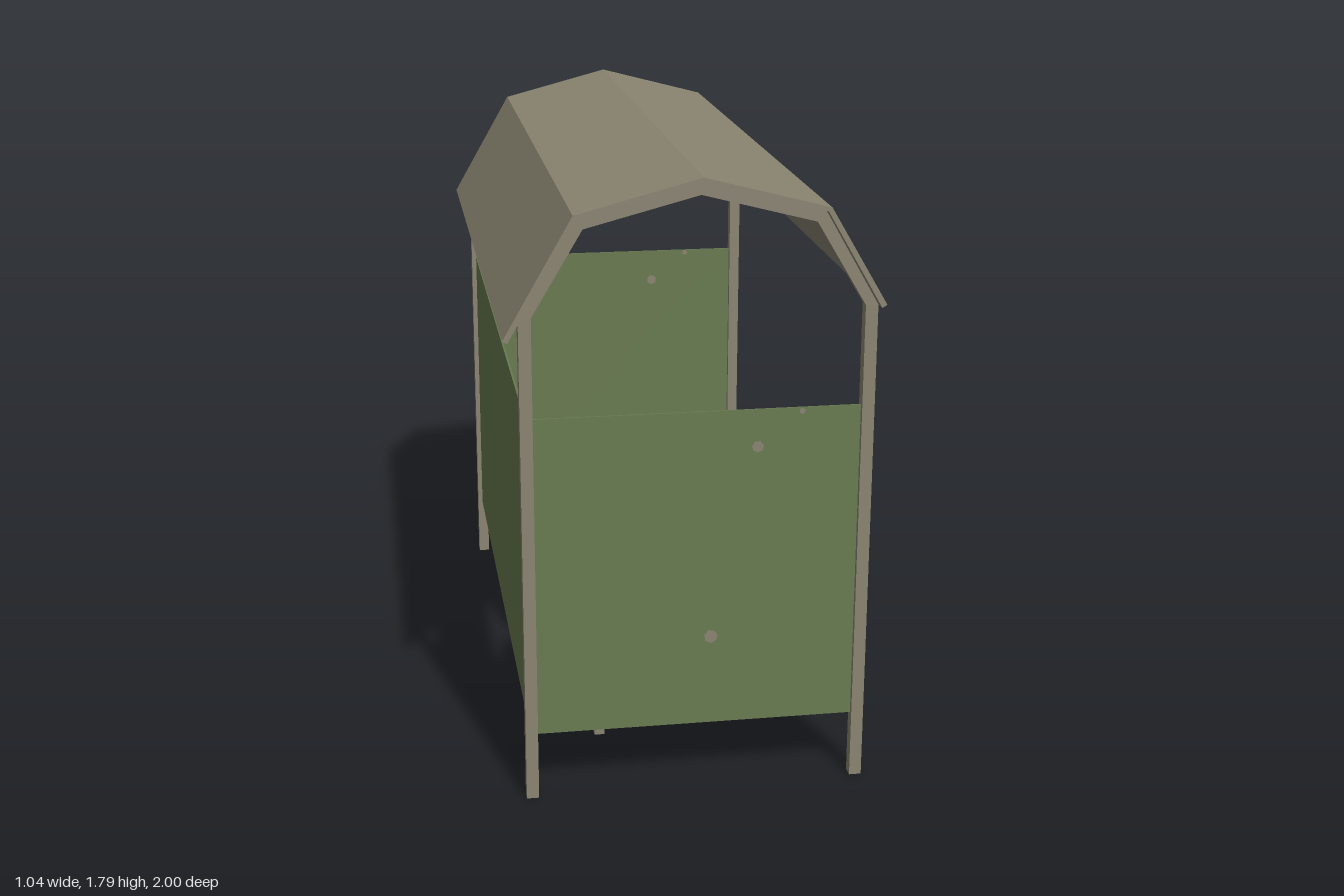
import * as THREE from 'three';

const metal = new THREE.MeshStandardMaterial({ color: 0x8a8471 });
metal.name = 'weathered metal';
const green = new THREE.MeshStandardMaterial({ color: 0x687a50 });
green.name = 'green paint';
const blue = new THREE.MeshStandardMaterial({ color: 0x58638a });
blue.name = 'blue plastic';

const MID = 0.015; // centre line of the frame in x

function add(parent, name, geometry, material, x = 0, y = 0, z = 0) {
  const mesh = new THREE.Mesh(geometry, material);
  mesh.name = name;
  mesh.position.set(x, y, z);
  parent.add(mesh);
  return mesh;
}

// Extrude an x,y outline along z, centred on z = 0
function prism(points, depth) {
  const shape = new THREE.Shape(points.map(([x, y]) => new THREE.Vector2(x, y)));
  return new THREE.ExtrudeGeometry(shape, { depth, bevelEnabled: false }).translate(0, 0, -depth / 2);
}

// Bent seat shell: four rows from the top of the back to the front lip,
// four columns across, closed with an offset lower layer
function seatGeometry() {
  const rows = [ // x and y in the middle, then at the sides
    [-0.345, 0.59, -0.325, 0.565],
    [-0.32, 0.368, -0.30, 0.383],
    [-0.09, 0.352, -0.10, 0.364],
    [-0.02, 0.348, -0.065, 0.36],
  ];
  const columns = [-0.142, -0.05, 0.05, 0.142];
  const n = columns.length;
  const layer = n * rows.length;
  const positions = [];
  for (const [dx, dy] of [[0, 0], [-0.01, -0.014]]) {
    rows.forEach(([mx, my, sx, sy], i) => columns.forEach((z, j) => {
      const side = j === 0 || j === n - 1;
      positions.push((side ? sx : mx) + dx, (side ? sy : my) + (i ? dy : 0), z);
    }));
  }
  const index = [];
  for (let i = 0; i < rows.length - 1; i++) {
    for (let j = 0; j < n - 1; j++) {
      const a = i * n + j, b = a + 1, c = a + n, d = c + 1;
      index.push(a, b, c, b, d, c);
      index.push(a + layer, c + layer, b + layer, b + layer, c + layer, d + layer);
    }
  }
  // Rim joining the two layers
  const rim = [];
  for (let j = 0; j < n; j++) rim.push(j);
  for (let i = 1; i < rows.length; i++) rim.push(i * n + n - 1);
  for (let j = n - 2; j >= 0; j--) rim.push((rows.length - 1) * n + j);
  for (let i = rows.length - 2; i > 0; i--) rim.push(i * n);
  rim.forEach((p, k) => {
    const q = rim[(k + 1) % rim.length];
    index.push(q, p, p + layer, q, p + layer, q + layer);
  });
  const geometry = new THREE.BufferGeometry();
  geometry.setAttribute('position', new THREE.Float32BufferAttribute(positions, 3));
  geometry.setIndex(index);
  const flat = geometry.toNonIndexed();
  flat.computeVertexNormals();
  return flat;
}

export function createModel() {
  const group = new THREE.Group();
  group.name = 'shelter';

  // Roof: a thin folded sheet with a longer overhang at the back
  add(group, 'roof', prism([
    [-0.52, 1.37], [-0.33, 1.70], [MID, 1.79], [0.36, 1.70], [0.52, 1.428],
    [0.506, 1.42], [0.35, 1.69], [MID, 1.775], [-0.32, 1.69], [-0.507, 1.362],
  ], 2), metal);

  // End frames: two posts and a folded arch, with a spotted panel between the posts
  const frame = prism([
    [-0.475, 0], [-0.475, 1.42], [-0.32, 1.69], [MID, 1.775], [0.35, 1.69], [0.505, 1.42], [0.505, 0],
    [0.47, 0], [0.47, 1.42], [0.33, 1.655], [MID, 1.737], [-0.30, 1.655], [-0.44, 1.42], [-0.44, 0],
  ], 0.035);
  const endSpots = [[0.182, 1.025, 0.017], [0.056, 0.463, 0.02], [0.305, 1.123, 0.009]];
  for (const side of [1, -1]) {
    const z = side * 0.947;
    add(group, 'endFrame', frame, metal, 0, 0, z);
    add(group, 'endPanel', new THREE.BoxGeometry(0.91, 0.938, 0.006), green, MID, 0.664, z);
    for (const [x, y, r] of endSpots) {
      const spot = new THREE.CylinderGeometry(r, r, 0.0085, 7).rotateX(Math.PI / 2);
      add(group, 'panelSpot', spot, metal, x, y, z);
    }
  }

  // Back panel with worn spots on its inner face
  add(group, 'backPanel', new THREE.BoxGeometry(0.006, 0.938, 1.86), green, -0.457, 0.664, 0);
  const backSpots = [
    [0.578, 0.985, 0.01], [0.668, 0.893, 0.01], [-0.572, 0.985, 0.011],
    [-0.663, 0.893, 0.01], [-0.556, 0.45, 0.019],
  ];
  for (const [z, y, r] of backSpots) {
    const spot = new THREE.CircleGeometry(r, 7).rotateY(Math.PI / 2);
    add(group, 'backSpot', spot, metal, -0.4525, y, z);
  }

  // Bench: one rail on two legs carrying three seats
  const bench = new THREE.Group();
  bench.name = 'bench';
  group.add(bench);
  add(bench, 'benchRail', new THREE.BoxGeometry(0.03, 0.024, 1.21), metal, -0.22, 0.328, 0.003);
  for (const z of [0.598, -0.592]) {
    add(bench, 'benchLeg', new THREE.BoxGeometry(0.03, 0.316, 0.02), metal, -0.22, 0.158, z);
  }
  const seat = seatGeometry();
  [0.473, 0.041, -0.39].forEach((z, i) => add(bench, 'seat', seat, i === 1 ? blue : green, 0, 0, z));

  return group;
}
